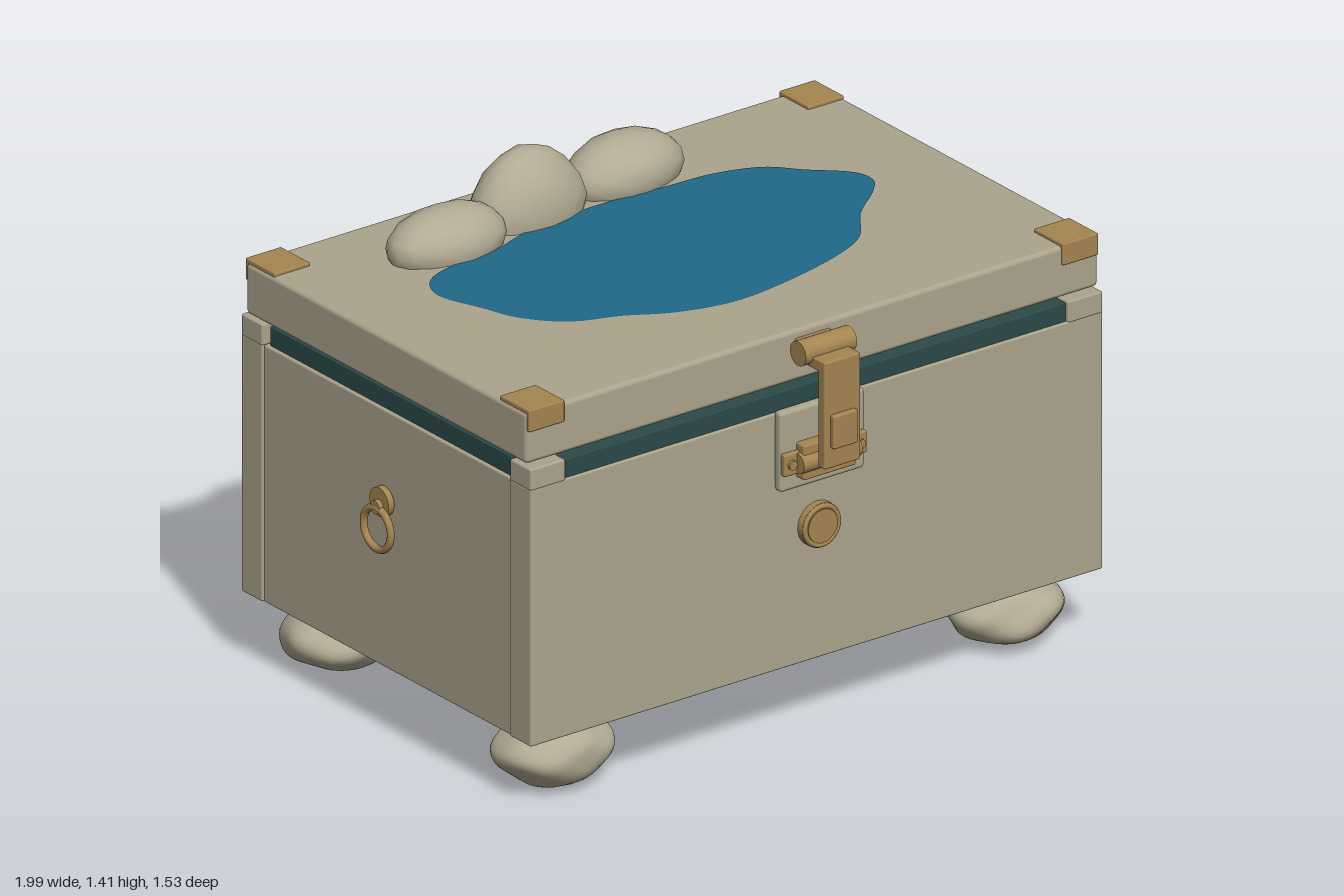
import * as THREE from 'three';
import { mergeVertices } from 'three/addons/utils/BufferGeometryUtils.js';
import { RoundedBoxGeometry } from 'three/addons/geometries/RoundedBoxGeometry.js';

const material = (name, color) => {
  const m = new THREE.MeshStandardMaterial({ color });
  m.name = name;
  return m;
};
const CX = 0.015; // chest centre line

export function createModel() {
  const chest = new THREE.Group();
  chest.name = 'chest';
  const stone = material('stone', 0xaba48c);
  const rock = material('rock', 0xb3ab94);
  const bronze = material('bronze', 0xa58551);
  const seal = material('dark teal', 0x2b4a49);
  const water = material('water blue', 0x21698a);

  const add = (name, geometry, mat, x = 0, y = 0, z = 0) => {
    const mesh = new THREE.Mesh(geometry, mat);
    mesh.name = name;
    mesh.position.set(x, y, z);
    chest.add(mesh);
    return mesh;
  };
  // Softened block given by its extents
  const block = (name, mat, x0, x1, y0, y1, z0, z1, r = 0.006) => {
    const w = x1 - x0, h = y1 - y0, d = z1 - z0;
    const radius = Math.min(r, w * 0.4, h * 0.4, d * 0.4);
    return add(name, new RoundedBoxGeometry(w, h, d, 2, radius),
      mat, (x0 + x1) / 2, (y0 + y1) / 2, (z0 + z1) / 2);
  };
  // Cylinder lying along x or z
  const rod = (name, axis, r, length, x, y, z) => {
    const g = new THREE.CylinderGeometry(r, r, length, 28);
    if (axis === 'x') g.rotateZ(Math.PI / 2);
    else g.rotateX(Math.PI / 2);
    return add(name, g, bronze, x, y, z);
  };
  // Lumpy boulder: a sphere displaced by layered sines
  const boulder = (name, [x, y, z], [rx, ry, rz], detail, bump, freq, seed, peak = 0) => {
    let g = new THREE.IcosahedronGeometry(1, detail);
    g.deleteAttribute('uv');
    g.deleteAttribute('normal');
    g = mergeVertices(g, 1e-4);
    const p = g.attributes.position, v = new THREE.Vector3();
    for (let i = 0; i < p.count; i++) {
      v.fromBufferAttribute(p, i);
      const n = Math.sin(v.x * freq + seed) * Math.sin(v.y * freq * 1.2 + seed * 2.3)
        + Math.sin(v.z * freq * 1.1 + seed * 1.7) * Math.cos((v.x - v.y) * freq * 0.8 + seed);
      v.multiplyScalar(1 + bump * n);
      const taper = 1 - peak * Math.max(0, v.y);
      p.setXYZ(i, v.x * rx * taper, v.y * ry, v.z * rz * taper);
    }
    g.computeVertexNormals();
    return add(name, g, rock, x, y, z);
  };

  // Body panels and base
  block('frontPanel', stone, -0.965, 0.995, 0.22, 0.99, 0.535, 0.63);
  block('backPanel', stone, -0.965, 0.995, 0.22, 0.99, -0.675, -0.58);
  block('base', stone, -0.885, 0.91, 0.19, 0.24, -0.58, 0.535, 0.01);
  for (const s of [-1, 1]) {
    const x = CX + s * 0.925;
    block('sidePanel', stone, x - 0.05, x + 0.05, 0.22, 0.99, -0.58, 0.535);
    // Dark seal under the lid, side runs
    const sx = CX + s * 0.93;
    block('sideSeal', seal, sx - 0.035, sx + 0.035, 0.985, 1.047, -0.565, 0.52, 0.003);
    // Corner posts
    const px = CX + s * 0.92;
    for (const [z0, z1] of [[0.535, 0.63], [-0.675, -0.58]])
      block('cornerPost', stone, px - 0.06, px + 0.06, 0.985, 1.05, z0, z1);
  }
  block('frontSeal', seal, -0.845, 0.875, 0.985, 1.045, 0.55, 0.622, 0.003);
  block('backSeal', seal, -0.845, 0.875, 0.985, 1.045, -0.665, -0.595, 0.003);

  // Lid
  block('lid', stone, -0.965, 0.995, 1.057, 1.21, -0.655, 0.61, 0.014);

  // Corner brackets: top plate and drop plate
  for (const s of [-1, 1]) {
    const x = CX + s * 0.914;
    for (const [z0, z1, f0, f1] of [[0.485, 0.615, 0.605, 0.617], [-0.657, -0.53, -0.662, -0.65]]) {
      block('bracketTop', bronze, x - 0.061, x + 0.061, 1.205, 1.22, z0, z1, 0.004);
      block('bracketDrop', bronze, x - 0.061, x + 0.061, 1.155, 1.22, f0, f1, 0.004);
    }
  }

  // Pond and its bank on the lid
  const shore = [[-0.685, -0.155], [-0.65, -0.24], [-0.56, -0.285], [-0.4, -0.295], [-0.24, -0.345],
    [0, -0.37], [0.24, -0.355], [0.4, -0.345], [0.54, -0.295], [0.615, -0.215], [0.715, -0.115],
    [0.725, -0.05], [0.68, 0.01], [0.565, 0.105], [0.465, 0.23], [0.35, 0.29], [0.08, 0.355],
    [-0.08, 0.365], [-0.24, 0.325], [-0.37, 0.255], [-0.505, 0.2], [-0.6, 0.095], [-0.64, -0.015]];
  const pool = (name, mat, scale, y) => {
    const curve = new THREE.CatmullRomCurve3(
      shore.map(([x, z]) => new THREE.Vector3(x * scale, -z * scale, 0)), true);
    const shape = new THREE.Shape(curve.getPoints(120).slice(0, -1).map(p => new THREE.Vector2(p.x, p.y)));
    add(name, new THREE.ShapeGeometry(shape).rotateX(-Math.PI / 2), mat, 0, y, 0);
  };
  pool('pondBank', stone, 1.14, 1.2115);
  pool('pondWater', water, 1, 1.214);

  // Rocks beside the pond
  boulder('leftRock', [-0.472, 1.235, -0.4], [0.193, 0.1, 0.118], 2, 0.03, 2, 1).rotation.y = 0.05;
  boulder('middleRock', [-0.165, 1.245, -0.445], [0.19, 0.17, 0.118], 2, 0.03, 2, 2.4, 0.18).rotation.y = 0.08;
  boulder('rightRock', [0.185, 1.24, -0.468], [0.195, 0.107, 0.12], 2, 0.03, 2, 4.1).rotation.y = 0.08;

  // Boulder feet
  let seed = 1;
  for (const x of [-0.757, 0.787])
    for (const z of [0.457, -0.505])
      boulder('foot', [x, 0.108, z], [0.172, 0.1, 0.148], 7, 0.04, 4.2, seed++ * 1.9);

  // Back hinges
  for (const x of [-0.58, 0.612]) {
    rod('hingeBarrel', 'x', 0.038, 0.22, x, 1.045, -0.725);
    block('hingeUpperLeaf', bronze, x - 0.073, x + 0.073, 1.052, 1.14, -0.733, -0.645);
    block('hingeLowerLeaf', bronze, x - 0.073, x + 0.073, 0.81, 1.04, -0.705, -0.672);
  }

  // Front latch
  block('latchPlate', stone, -0.13, 0.16, 0.76, 1.0, 0.625, 0.657, 0.012);
  block('latchMount', bronze, CX - 0.06, CX + 0.06, 1.14, 1.185, 0.605, 0.66);
  rod('latchBarrel', 'x', 0.036, 0.175, CX, 1.165, 0.66);
  block('latchBridge', bronze, CX - 0.062, CX + 0.062, 1.125, 1.16, 0.66, 0.745);
  block('latchArm', bronze, CX - 0.062, CX + 0.062, 0.84, 1.16, 0.715, 0.747);
  block('latchGrip', bronze, CX - 0.042, CX + 0.042, 0.9, 1.0, 0.74, 0.762);
  block('latchKeeper', bronze, CX - 0.09, CX + 0.09, 0.795, 0.9, 0.65, 0.69);
  rod('keeperBar', 'x', 0.03, 0.2, CX, 0.845, 0.675);
  block('keeperEars', bronze, CX - 0.142, CX + 0.142, 0.812, 0.878, 0.65, 0.672);
  for (const s of [-1, 1]) rod('keeperScrew', 'z', 0.014, 0.01, CX + s * 0.117, 0.845, 0.675);

  // Round lock boss
  rod('lockFlange', 'z', 0.066, 0.022, CX, 0.625, 0.64);
  rod('lockFace', 'z', 0.05, 0.03, CX, 0.625, 0.643);
  add('lockRim', new THREE.TorusGeometry(0.057, 0.008, 10, 36), bronze, CX, 0.625, 0.651);

  // Ring pull on the right side
  rod('pullBoss', 'x', 0.043, 0.02, -0.973, 0.722, -0.03);
  rod('pullPin', 'x', 0.02, 0.035, -0.98, 0.71, -0.03);
  add('pullRing', new THREE.TorusGeometry(0.061, 0.011, 10, 36).rotateY(Math.PI / 2),
    bronze, -0.989, 0.645, -0.03);
  return chest;
}
